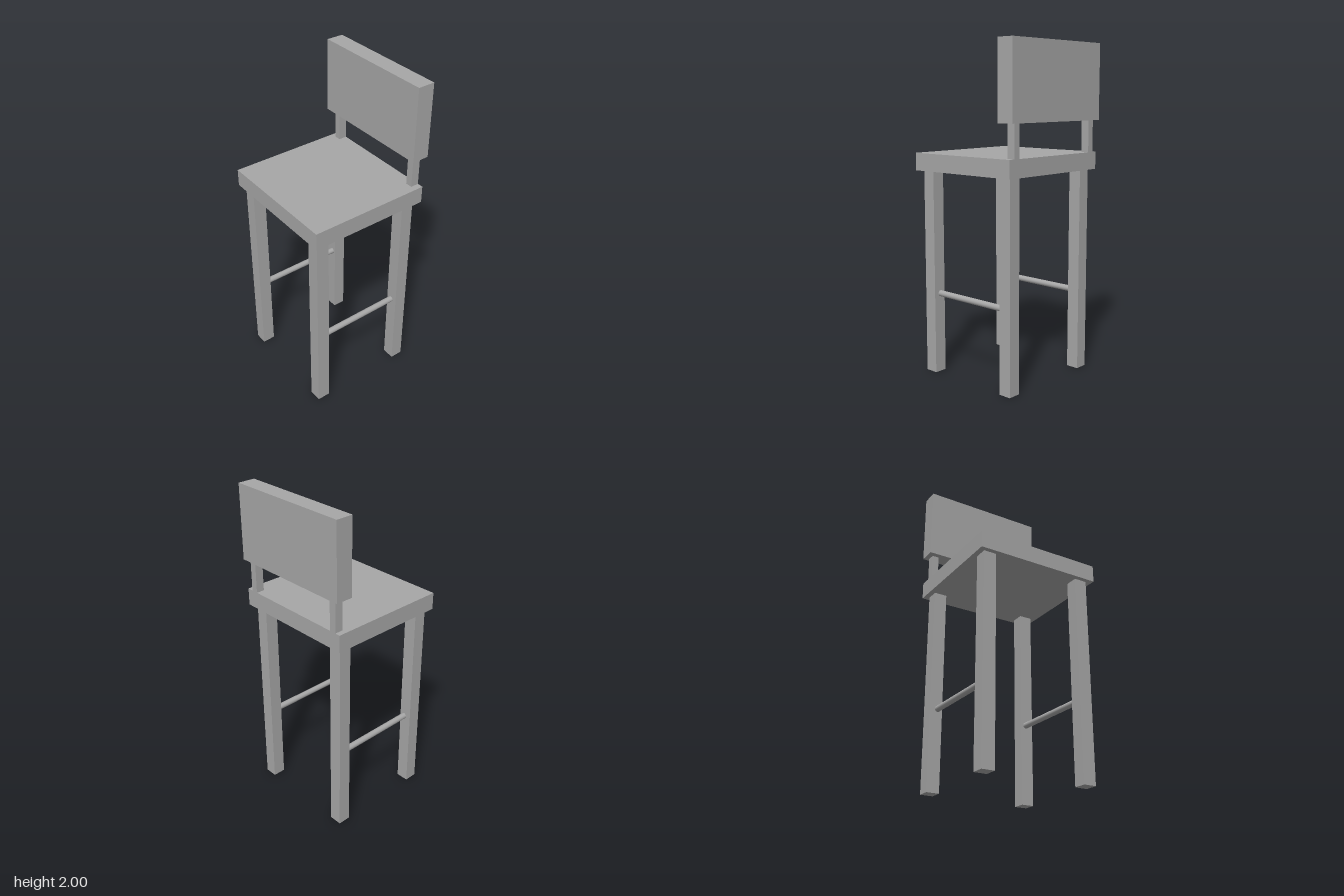
import * as THREE from 'three';

export function createModel() {
  const chair = new THREE.Group();
  chair.name = 'highChair';

  const grey = new THREE.MeshStandardMaterial({ color: 0xa6a6a6 });
  grey.name = 'grey';

  // Box given by its extents along each axis
  function block(name, [x0, x1], [y0, y1], [z0, z1]) {
    const mesh = new THREE.Mesh(new THREE.BoxGeometry(x1 - x0, y1 - y0, z1 - z0), grey);
    mesh.position.set((x0 + x1) / 2, (y0 + y1) / 2, (z0 + z1) / 2);
    mesh.name = name;
    chair.add(mesh);
  }

  // Seat slab and backrest panel
  block('seat', [-0.393, 0.393], [1.25, 1.355], [-0.365, 0.385]);
  block('backrest', [-0.393, 0.393], [1.547, 2], [-0.385, -0.279]);

  // Each side: two legs, a backrest post and a round foot rail
  const sides = [
    { label: 'left', leg: [0.276, 0.355], post: [0.312, 0.355], rail: 0.308 },
    { label: 'right', leg: [-0.36, -0.281], post: [-0.36, -0.317], rail: -0.31 },
  ];
  for (const { label, leg, post, rail } of sides) {
    block(`${label}FrontLeg`, leg, [0, 1.25], [0.275, 0.355]);
    block(`${label}BackLeg`, leg, [0, 1.25], [-0.333, -0.254]);
    block(`${label}BackrestPost`, post, [1.355, 1.547], [-0.365, -0.314]);

    const bar = new THREE.Mesh(new THREE.CylinderGeometry(0.0185, 0.0185, 0.529, 24), grey);
    bar.rotation.x = Math.PI / 2;
    bar.position.set(rail, 0.495, 0.0105);
    bar.name = `${label}FootRail`;
    chair.add(bar);
  }

  return chair;
}
